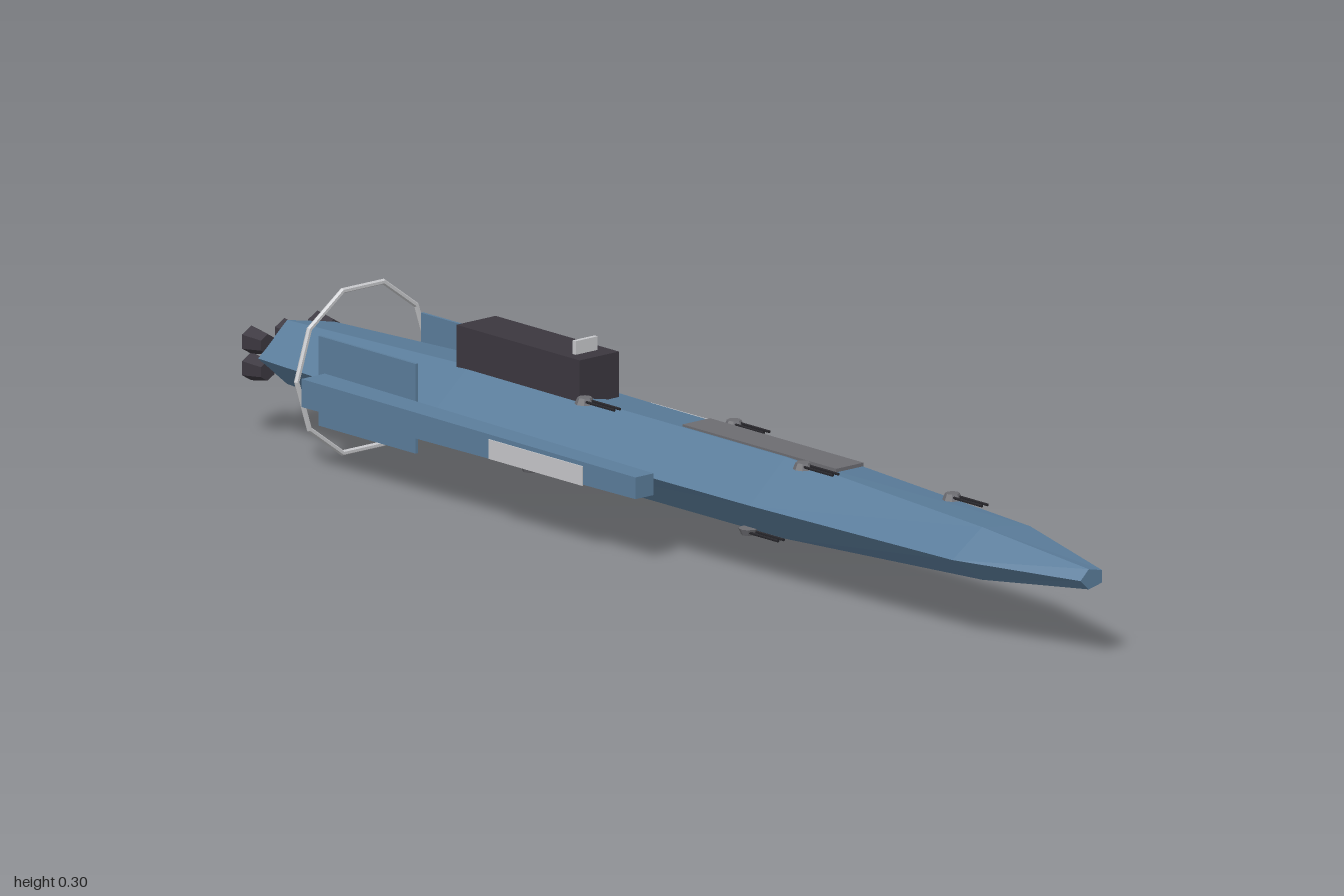
import * as THREE from 'three';

const mat = (name, color, extra = {}) =>
  Object.assign(new THREE.MeshStandardMaterial({ color, flatShading: true, ...extra }), { name });

export function createModel() {
  const blue = mat('hull blue', 0x5b7d9b);
  const dark = mat('charcoal', 0x3b373f);
  const grey = mat('mid grey', 0x6c6c71);
  const light = mat('light grey', 0xc6c7ca);
  const black = mat('gun black', 0x26252a);

  const model = new THREE.Group();
  model.name = 'spaceship';
  const CY = 0.142; // height of the ship's axis

  const add = (name, geometry, material, x = 0, y = 0, z = 0, parent = model) => {
    const mesh = new THREE.Mesh(geometry, material);
    mesh.name = name;
    mesh.position.set(x, y, z);
    parent.add(mesh);
    return mesh;
  };
  const box = (w, h, d) => new THREE.BoxGeometry(w, h, d);
  // cylinder lying along z, first radius at the front
  const tube = (front, back, length, sides, start = 0) =>
    new THREE.CylinderGeometry(front, back, length, sides, 1, false, start).rotateX(Math.PI / 2);

  // Hull: five-sided sections [z, half width, half height]
  const stations = [
    [1, 0.026, 0.018], [0.76, 0.094, 0.047], [0.28, 0.113, 0.073],
    [-0.5, 0.12, 0.0735], [-0.96, 0.092, 0.057],
  ];
  const sides = 5;
  const corner = ([z, rx, ry], k) => {
    const a = Math.PI / 5 + (k * Math.PI * 2) / sides;
    return [rx * Math.cos(a), CY + ry * Math.sin(a), z];
  };
  const points = [];
  const first = stations[0];
  const last = stations[stations.length - 1];
  for (let k = 0; k < sides; k++) {
    for (let i = 0; i < stations.length - 1; i++) {
      const a = corner(stations[i], k), b = corner(stations[i], k + 1);
      const c = corner(stations[i + 1], k + 1), d = corner(stations[i + 1], k);
      points.push(...a, ...d, ...c, ...a, ...c, ...b);
    }
    points.push(0, CY, first[0], ...corner(first, k), ...corner(first, k + 1));
    points.push(0, CY, last[0], ...corner(last, k + 1), ...corner(last, k));
  }
  const hull = new THREE.BufferGeometry();
  hull.setAttribute('position', new THREE.Float32BufferAttribute(points, 3));
  hull.computeVertexNormals();
  add('hull', hull, blue);

  // half height of the hull's upper and lower ridges at a given z
  const ridge = (z) => {
    const i = Math.max(1, stations.findIndex((s) => s[0] <= z));
    const [z0, , h0] = stations[i - 1];
    const [z1, , h1] = stations[i];
    return 0.951 * THREE.MathUtils.mapLinear(z, z0, z1, h0, h1);
  };

  // Deckhouse, its antenna panel and the deck plate
  add('deckhouse', box(0.086, 0.077, 0.305), dark, 0, 0.2385, -0.3725);
  add('antennaPanel', box(0.048, 0.03, 0.008), light, 0, 0.285, -0.255);
  add('deckPlate', box(0.06, 0.006, 0.38), grey, 0, 0.211, 0.21);

  // Side pods, radiator panels and stabiliser fins
  for (const s of [1, -1]) {
    const pod = tube(0.0283, 0.0365, 0.82, 4, Math.PI / 4).scale(1, 0.92, 1);
    add('sidePod', pod, blue, s * 0.144, 0.136, -0.355);
    add('radiatorPanel', box(0.002, 0.033, 0.232), light, s * 0.177, 0.136, -0.177);
    add('stabiliserFin', box(0.005, 0.152, 0.24), blue, s * 0.112, 0.143, -0.665);
  }

  // Ten-sided ring around the stern
  add('sternRing', new THREE.TorusGeometry(0.1445, 0.0048, 6, 10), light, 0, CY, -0.805);

  // Six engine nozzles with pale exhaust discs
  for (const x of [-0.072, 0, 0.072]) {
    for (const y of [0.163, 0.118]) {
      add('engineNozzle', tube(0.017, 0.024, 0.04, 6), dark, x, y, -0.979);
      add('exhaust', tube(0.018, 0.018, 0.003, 6), light, x, y, -0.9985);
    }
  }

  // Twin-gun turrets, staggered along the upper and lower ridges
  const turret = (x, z, up) => {
    const group = new THREE.Group();
    group.name = up > 0 ? 'upperTurret' : 'lowerTurret';
    group.position.set(x, CY + up * ridge(z), z);
    group.scale.y = 1;
    const [top, bottom] = up > 0 ? [0.012, 0.017] : [0.017, 0.012];
    add('turretBase', new THREE.CylinderGeometry(top, bottom, 0.011, 8), grey, 0, up * 0.001, 0, group);
    for (const s of [1, -1]) {
      add('gunBarrel', tube(0.0025, 0.0025, 0.075, 6), black, s * 0.006, up * 0.001, 0.043, group);
    }
    model.add(group);
  };
  for (let i = 0; i < 5; i++) turret(i % 2 ? -0.045 : 0.043, 0.605 - i * 0.27, 1);
  for (let i = 0; i < 4; i++) turret(i % 2 ? -0.045 : 0.043, 0.47 - i * 0.27, -1);

  return model;
}
